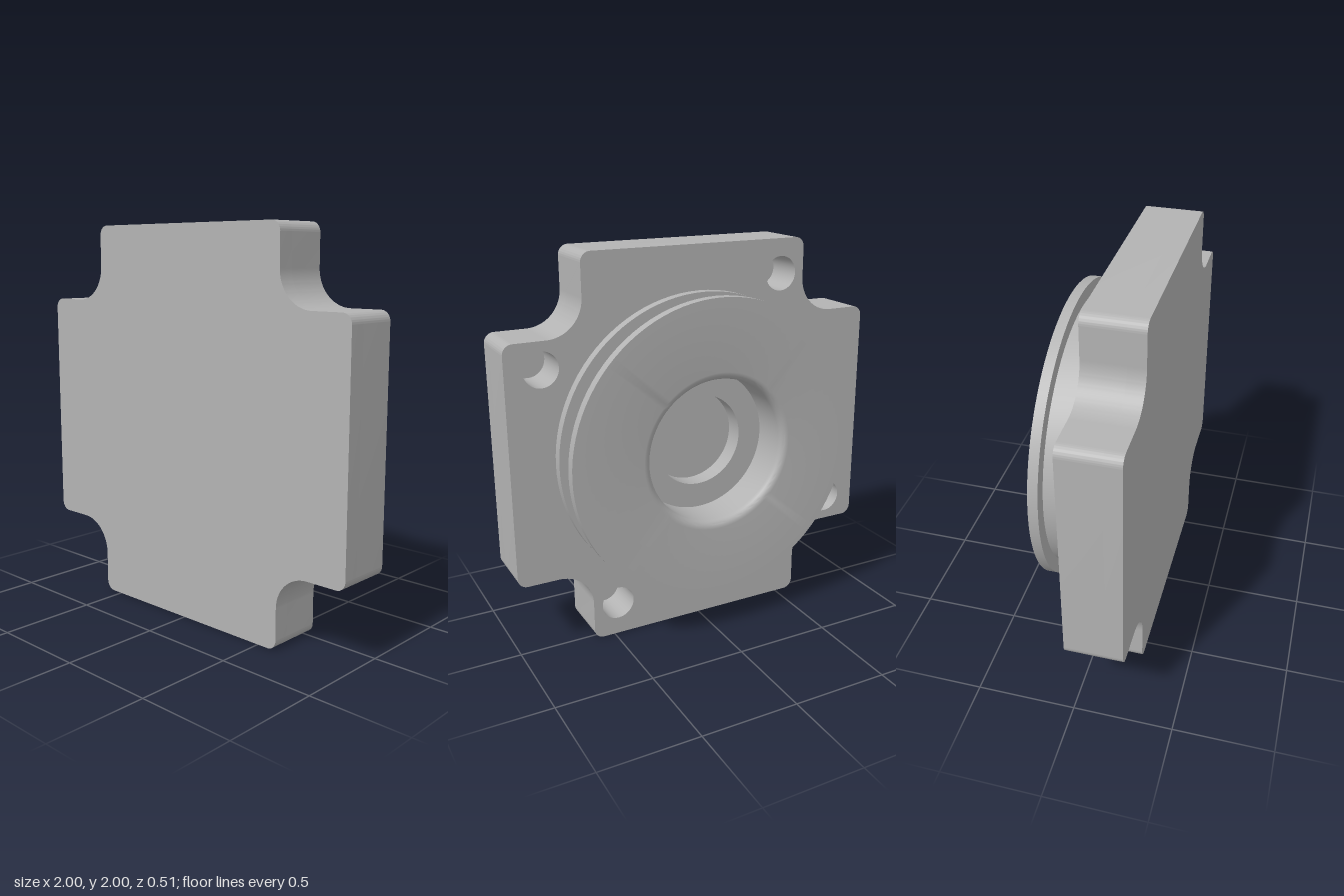
import * as THREE from 'three';
import { toCreasedNormals } from 'three/addons/utils/BufferGeometryUtils.js';

const Q = Math.PI / 2;
const CENTER_Y = 1;

// Cross-shaped outline: rounded arm corners joined by concave notches
function plateOutline() {
  const shape = new THREE.Shape();
  const arc = (k, x, y, r, from, to, clockwise) => {
    const c = Math.round(Math.cos(k * Q)), s = Math.round(Math.sin(k * Q));
    shape.absarc(x * c - y * s, x * s + y * c, r, from + k * Q, to + k * Q, clockwise);
  };
  for (let k = 0; k < 4; k++) {
    arc(k, 0.95, 0.56, 0.05, 0, Q, false);
    arc(k, 0.79, 0.79, 0.18, 3 * Q, 2 * Q, true);
    arc(k, 0.56, 0.95, 0.05, 0, Q, false);
  }
  shape.closePath();
  return shape;
}

function addHole(shape, x, y, r) {
  const hole = new THREE.Path();
  hole.absarc(x, y, r, 0, Math.PI * 2, true);
  shape.holes.push(hole);
}

function slab(shape, zBack, zFront) {
  const geo = new THREE.ExtrudeGeometry(shape, {
    depth: zFront - zBack, bevelEnabled: false, curveSegments: 16,
  });
  geo.translate(0, 0, zBack);
  return toCreasedNormals(geo, 0.5);
}

export function createModel() {
  const group = new THREE.Group();
  const metal = new THREE.MeshStandardMaterial({ color: 0xb3b3b3 });
  metal.name = 'grey metal';

  const add = (name, geo) => {
    const mesh = new THREE.Mesh(geo, metal);
    mesh.name = name;
    mesh.position.y = CENTER_Y;
    group.add(mesh);
  };

  // Solid front of the plate closes the blind holes
  add('plateFront', slab(plateOutline(), 0.17, 0.255));

  // Back of the plate with four bolt holes and the opening for the bore
  const back = plateOutline();
  for (let k = 0; k < 4; k++) {
    const a = Math.PI / 6 + k * Q;
    addHole(back, 0.95 * Math.cos(a), 0.95 * Math.sin(a), 0.088);
  }
  addHole(back, 0, 0, 0.3);
  add('plateBack', slab(back, -0.035, 0.17));

  // Grooved round hub with a rounded mouth and a stepped blind bore
  const profile = [
    [0.775, 0.035], [0.775, 0.085], [0.705, 0.085], [0.705, 0.205],
    [0.775, 0.205], [0.775, 0.255],
  ];
  for (let i = 0; i <= 6; i++) {
    const a = (i / 6) * Q;
    profile.push([0.41 - 0.04 * Math.sin(a), 0.215 + 0.04 * Math.cos(a)]);
  }
  profile.push([0.37, 0.035], [0.24, 0.035], [0.24, -0.065], [0, -0.065]);
  const hub = new THREE.LatheGeometry(profile.map(([r, h]) => new THREE.Vector2(r, h)), 96);
  hub.rotateX(-Q);
  add('groovedHub', toCreasedNormals(hub, 0.5));

  return group;
}
